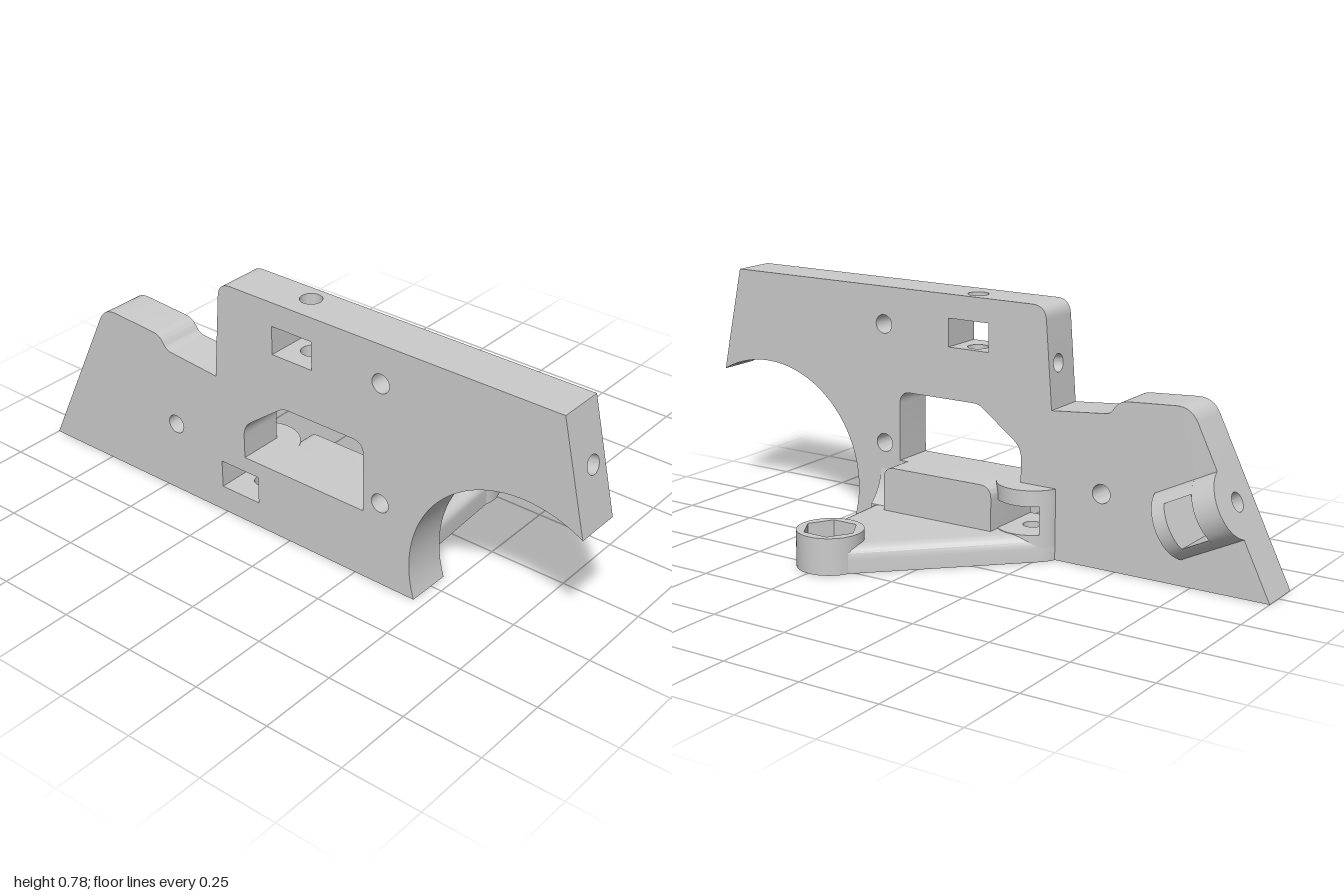
import * as THREE from 'three';
import { mergeGeometries, toCreasedNormals } from 'three/addons/utils/BufferGeometryUtils.js';

const V2 = (a, b) => new THREE.Vector2(a, b);
const V3 = (x, y, z) => new THREE.Vector3(x, y, z);
const material = new THREE.MeshStandardMaterial({ color: 0xcccccc, side: THREE.DoubleSide });
const X0 = -0.333, X1 = -0.19; // plate thickness

function mesh(name, geos) {
  const flat = geos.map(g => {
    const n = g.index ? g.toNonIndexed() : g;
    n.deleteAttribute('uv');
    return n;
  });
  const m = new THREE.Mesh(toCreasedNormals(mergeGeometries(flat), 0.5), material);
  m.name = name;
  return m;
}

// place a geometry in the frame (ex, ey, ez) at an origin
const place = (geo, ex, ey, ez, o) => geo.applyMatrix4(new THREE.Matrix4().makeBasis(ex, ey, ez).setPosition(o));

// polygon with rounded corners, from [z, y, radius]
function rounded(list) {
  return list.flatMap(([z, y, r], i) => {
    const c = V2(z, y);
    if (!r) return [c];
    const [p, q] = [list.at(i - 1), list[(i + 1) % list.length]].map(e => V2(e[0], e[1]).sub(c).setLength(r).add(c));
    return new THREE.QuadraticBezierCurve(p, c, q).getPoints(8);
  });
}
const arc = (cx, cy, r, a, b, n) => Array.from({ length: n + 1 }, (_, i) => {
  const t = a + (b - a) * i / n;
  return V2(cx + r * Math.cos(t), cy + r * Math.sin(t));
});
const rect = (z0, z1, y0, y1) => rounded([[z0, y0], [z1, y0], [z1, y1], [z0, y1]]);

// walls across the thickness along a (z, y) loop, pierced where a bore ends on them
function walls(loop, x0, x1, bores, outer) {
  const pts = THREE.ShapeUtils.isClockWise(loop) === outer ? loop : [...loop].reverse();
  const out = [];
  pts.forEach((p, i) => {
    const q = pts[(i + 1) % pts.length], len = p.distanceTo(q);
    if (len < 1e-5) return;
    const s = new THREE.Shape([V2(0, x0), V2(len, x0), V2(len, x1), V2(0, x1)]);
    for (const b of bores) for (const e of [b.from, b.to]) {
      if (p.distanceTo(e) + e.distanceTo(q) - len < 1e-4) {
        s.holes.push(new THREE.Path().absarc(p.distanceTo(e), b.x, b.r, 0, Math.PI * 2, true));
      }
    }
    const ex = V3(0, q.y - p.y, q.x - p.x).divideScalar(len), ey = V3(1, 0, 0);
    out.push(place(new THREE.ShapeGeometry(s, 12), ex, ey, ex.clone().cross(ey), V3(0, p.y, p.x)));
  });
  return out;
}

// flat side face at x, looking to side +1 or -1
function face(loop, holes, x, side) {
  const flip = l => l.map(p => V2(-side * p.x, p.y));
  const s = new THREE.Shape(flip(loop));
  s.holes = holes.map(h => new THREE.Path(flip(h)));
  return place(new THREE.ShapeGeometry(s), V3(0, 0, -side), V3(0, 1, 0), V3(side, 0, 0), V3(x, 0, 0));
}

function boreGeometries({ from, to, x, r, blind }) {
  const a = V3(x, from.y, from.x), b = V3(x, to.y, to.x);
  const turn = new THREE.Quaternion().setFromUnitVectors(V3(0, 1, 0), b.clone().sub(a).normalize());
  const mid = a.clone().add(b).multiplyScalar(0.5);
  const put = (g, p) => g.applyQuaternion(turn).translate(p.x, p.y, p.z);
  const out = [put(new THREE.CylinderGeometry(r, r, a.distanceTo(b), 24, 1, true), mid)];
  if (blind) out.push(put(new THREE.CircleGeometry(r, 24).rotateX(Math.PI / 2), b));
  return out;
}

// round boss on the plate's side, in sections [start, end, u0, u1] along its axis
function boss(name, origin, u, axis, sections) {
  return mesh(name, sections.map(([s, e, u0, u1]) => {
    const a = Math.acos(u0 / 0.11), b = Math.acos(u1 / 0.11);
    const shape = new THREE.Shape([V2(u0, X1), ...arc(0, -0.225, 0.11, a, b, 20), V2(u1, X1)]);
    const g = new THREE.ExtrudeGeometry(shape, { depth: e - s, bevelEnabled: false }).translate(0, 0, s);
    return place(g, u, V3(1, 0, 0), axis, origin);
  }));
}

// foot outline in (x, z), pulled in by d; hollow where it meets the round end
const END = V2(0.227, 0.242), R = 0.103;
function footRing(d) {
  const n1 = 1.519, n2 = -0.81 + Math.PI * 2, inner = 0.095;
  const k = Math.acos(Math.min(1, (R - d) / inner)), ra = 0.11 - d;
  return [
    V2(X1, 0.365 - d),
    ...arc(END.x, END.y, inner, n1 + k, n2 - k, 20),
    ...arc(-0.225, -0.19, ra, -0.81, -Math.acos(0.035 / ra), 8),
  ];
}
function foot() {
  const levels = [[0, 0]];
  for (let i = 0; i <= 6; i++) {
    const t = i / 6 * Math.PI / 2;
    levels.push([0.043 + 0.04 * Math.sin(t), 0.04 * (1 - Math.cos(t))]);
  }
  const rings = levels.map(([y, d]) => footRing(d).map(p => V3(p.x, y, p.y)));
  const n = rings[0].length, index = [];
  for (let j = 0; j < rings.length - 1; j++) for (let i = 0; i < n - 1; i++) {
    const a = j * n + i, b = a + n;
    index.push(a, a + 1, b + 1, a, b + 1, b);
  }
  const side = new THREE.BufferGeometry().setFromPoints(rings.flat()).setIndex(index);
  side.computeVertexNormals();
  const cap = d => new THREE.ShapeGeometry(new THREE.Shape(footRing(d).map(p => V2(p.x, -p.y)))).rotateX(-Math.PI / 2);
  const bottom = cap(0);
  bottom.index.array.reverse();
  return mesh('foot', [side, cap(0.04).translate(0, 0.083, 0), bottom]);
}

export function createModel() {
  const model = new THREE.Group();
  model.name = 'bracket';

  // side plate outline with the big arch at the front
  const outline = [
    ...rounded([[-1, 0], [-0.735, 0.54, 0.05], [-0.5, 0.525, 0.03], [-0.475, 0.483, 0.018], [-0.275, 0.465],
      [-0.249, 0.78, 0.045], [0.925, 0.78], [1, 0.435]]),
    ...arc(0.815, 0.115, 0.37, 1.06, Math.PI + 0.316, 32),
  ];
  const window_ = rounded([[0.28, 0.225], [0.28, 0.45, 0.04], [-0.015, 0.45, 0.02], [-0.17, 0.335, 0.035], [-0.17, 0.225]]);
  const through = [window_, rect(-0.05, 0.095, 0.615, 0.705), rect(-0.265, -0.12, 0.085, 0.175)];
  for (const [z, y] of [[0.34, 0.66], [0.34, 0.275], [-0.45, 0.235]]) {
    through.push(arc(z, y, 0.03, 0, Math.PI * 2, 24).slice(0, -1));
  }

  // slanted rear lug: d runs down the rear edge, n points into the plate
  const slope = V2(-0.265, -0.54).normalize(), n = V2(-slope.y, slope.x);
  const lug = V2(-0.8675, 0.27);
  const at = (s, u) => lug.clone().addScaledVector(n, s).addScaledVector(slope, u);
  const pocket = [at(0.077, -0.07), at(0.172, -0.07), at(0.172, 0.07), at(0.077, 0.07)];

  const bores = [
    { from: V2(0.9624, 0.608), to: V2(0.718, 0.555), x: -0.245, r: 0.028, blind: true },
    { from: V2(-0.2639, 0.6), to: V2(-0.114, 0.587), x: -0.245, r: 0.028, blind: true },
    { from: V2(0.0225, 0.78), to: V2(0.0225, 0.705), x: -0.245, r: 0.033 },
    { from: V2(0.0225, 0.615), to: V2(0.0225, 0.45), x: -0.245, r: 0.033 },
    { from: lug, to: at(0.077, 0), x: -0.235, r: 0.03 },
    { from: V2(-0.19, 0), to: V2(-0.19, 0.085), x: -0.23, r: 0.03 },
  ];
  model.add(mesh('sidePlate', [
    face(outline, through, X0, -1),
    face(outline, [...through, pocket], X1, 1),
    ...walls(outline, X0, X1, bores, true),
    ...through.flatMap(h => walls(h, X0, X1, bores, false)),
    ...walls(pocket, -0.3, X1, bores, false),
    face(pocket, [], -0.3, 1),
  ]));
  model.add(mesh('boltBores', bores.flatMap(boreGeometries)));

  // rear lug and lower boss, each split around its nut slot
  const w = 0.104;
  model.add(boss('rearLug', V3(0, lug.y, lug.x), V3(0, slope.y, slope.x), V3(0, n.y, n.x),
    [[0, 0.077, -w, w], [0.077, 0.172, -w, -0.07], [0.077, 0.172, 0.07, w], [0.172, 0.217, -w, w]]));
  model.add(boss('lowerBoss', V3(0, 0, -0.19), V3(0, 0, 1), V3(0, 1, 0),
    [[0, 0.085, -w, w], [0.085, 0.175, -w, -0.075], [0.175, 0.225, -w, w]]));

  // raised block beside the window
  const block = rounded([[0.12, 0], [0.12, 0.225, 0.04], [-0.28, 0.225, 0.04], [-0.28, 0]]);
  const blockGeo = new THREE.ExtrudeGeometry(new THREE.Shape(block), { depth: 0.09, bevelEnabled: false });
  model.add(mesh('block', [place(blockGeo, V3(0, 0, -1), V3(0, 1, 0), V3(1, 0, 0), V3(X1, 0, 0))]));

  // foot, its fillet to the plate, and the round end with hexagonal nut pocket
  model.add(foot());
  const fillet = new THREE.Shape([V2(X1, 0.06), V2(-0.135, 0.06),
    ...new THREE.QuadraticBezierCurve(V2(-0.135, 0.083), V2(-0.183, 0.125), V2(X1, 0.19)).getPoints(10)]);
  model.add(mesh('fillet', [new THREE.ExtrudeGeometry(fillet, { depth: 0.085, bevelEnabled: false }).translate(0, 0, 0.27)]));
  const ring = (hole, y0, y1) => {
    const s = new THREE.Shape().absarc(0, 0, R, 0, Math.PI * 2);
    s.holes.push(new THREE.Path(hole));
    return new THREE.ExtrudeGeometry(s, { depth: y1 - y0, bevelEnabled: false, curveSegments: 24 })
      .rotateX(-Math.PI / 2).translate(END.x, y0, END.y);
  };
  const circle = (r, k) => arc(0, 0, r, Math.PI / 2, Math.PI * 2.5, k).slice(0, -1);
  model.add(mesh('footEnd', [ring(circle(0.035, 24), 0, 0.05), ring(circle(0.085, 6), 0.05, 0.115)]));
  return model;
}
